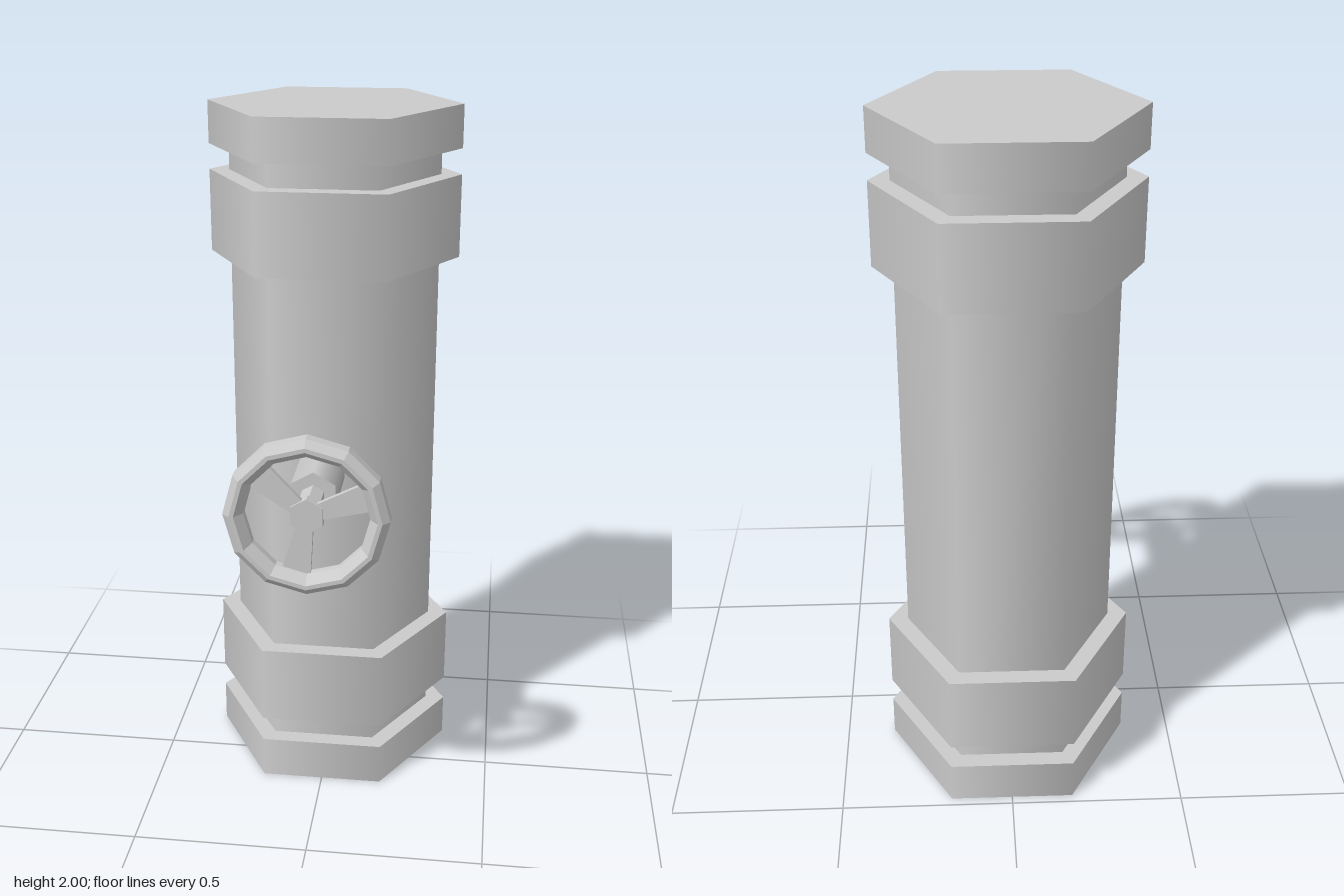
import * as THREE from 'three';

const material = new THREE.MeshStandardMaterial({ color: 0xcccccc });
const flatMaterial = new THREE.MeshStandardMaterial({ color: 0xcccccc, flatShading: true });

const PIPE_Z = -0.165;
const VALVE_Y = 1.02;

export function createModel() {
  const model = new THREE.Group();
  model.name = 'valvePipe';

  const add = (parent, name, geometry, mat = material) => {
    const mesh = new THREE.Mesh(geometry, mat);
    mesh.name = name;
    parent.add(mesh);
    return mesh;
  };

  // Upright hexagonal prism with corners on the x axis
  const hexPrism = (name, radius, y0, y1) => {
    const geometry = new THREE.CylinderGeometry(radius, radius, y1 - y0, 6, 1, false, Math.PI / 2);
    add(model, name, geometry).position.set(0, (y0 + y1) / 2, PIPE_Z);
  };

  // Pipe body with an end flange and a collar at each end
  hexPrism('pipeBody', 0.3, 0.1, 1.9);
  hexPrism('bottomFlange', 0.357, 0, 0.125);
  hexPrism('bottomCollar', 0.357, 0.2, 0.435);
  hexPrism('topCollar', 0.357, 1.575, 1.808);
  hexPrism('topFlange', 0.357, 1.88, 2);

  // Valve assembly, its axis pointing to the front
  const valve = new THREE.Group();
  valve.name = 'valve';
  valve.position.y = VALVE_Y;
  model.add(valve);

  const axialHex = (name, radius, z0, z1, mat) => {
    const geometry = new THREE.CylinderGeometry(radius, radius, z1 - z0, 6).rotateX(Math.PI / 2);
    add(valve, name, geometry, mat).position.z = (z0 + z1) / 2;
  };
  axialHex('valveCollar', 0.07, 0.06, 0.312);
  axialHex('valveStem', 0.034, 0.3, 0.43, flatMaterial);
  axialHex('wheelHub', 0.05, 0.42, 0.448, flatMaterial);

  // Twelve-sided rim, bevelled on its front
  const rimProfile = [
    [0.168, 0.422], [0.222, 0.422], [0.222, 0.455], [0.202, 0.473],
    [0.19, 0.473], [0.168, 0.445], [0.168, 0.422],
  ].map(([r, z]) => new THREE.Vector2(r, z));
  add(valve, 'wheelRim', new THREE.LatheGeometry(rimProfile, 12).rotateX(Math.PI / 2), flatMaterial);

  // Three spokes widening toward the rim
  const spokeShape = new THREE.Shape([
    new THREE.Vector2(0.03, -0.022), new THREE.Vector2(0.175, -0.04),
    new THREE.Vector2(0.175, 0.04), new THREE.Vector2(0.03, 0.022),
  ]);
  const spokeGeometry = new THREE.ExtrudeGeometry(spokeShape, { depth: 0.016, bevelEnabled: false });
  for (let i = 0; i < 3; i++) {
    const spoke = add(valve, `wheelSpoke${i + 1}`, spokeGeometry, flatMaterial);
    spoke.position.z = 0.424;
    spoke.rotation.z = THREE.MathUtils.degToRad(20 + i * 120);
  }

  return model;
}
